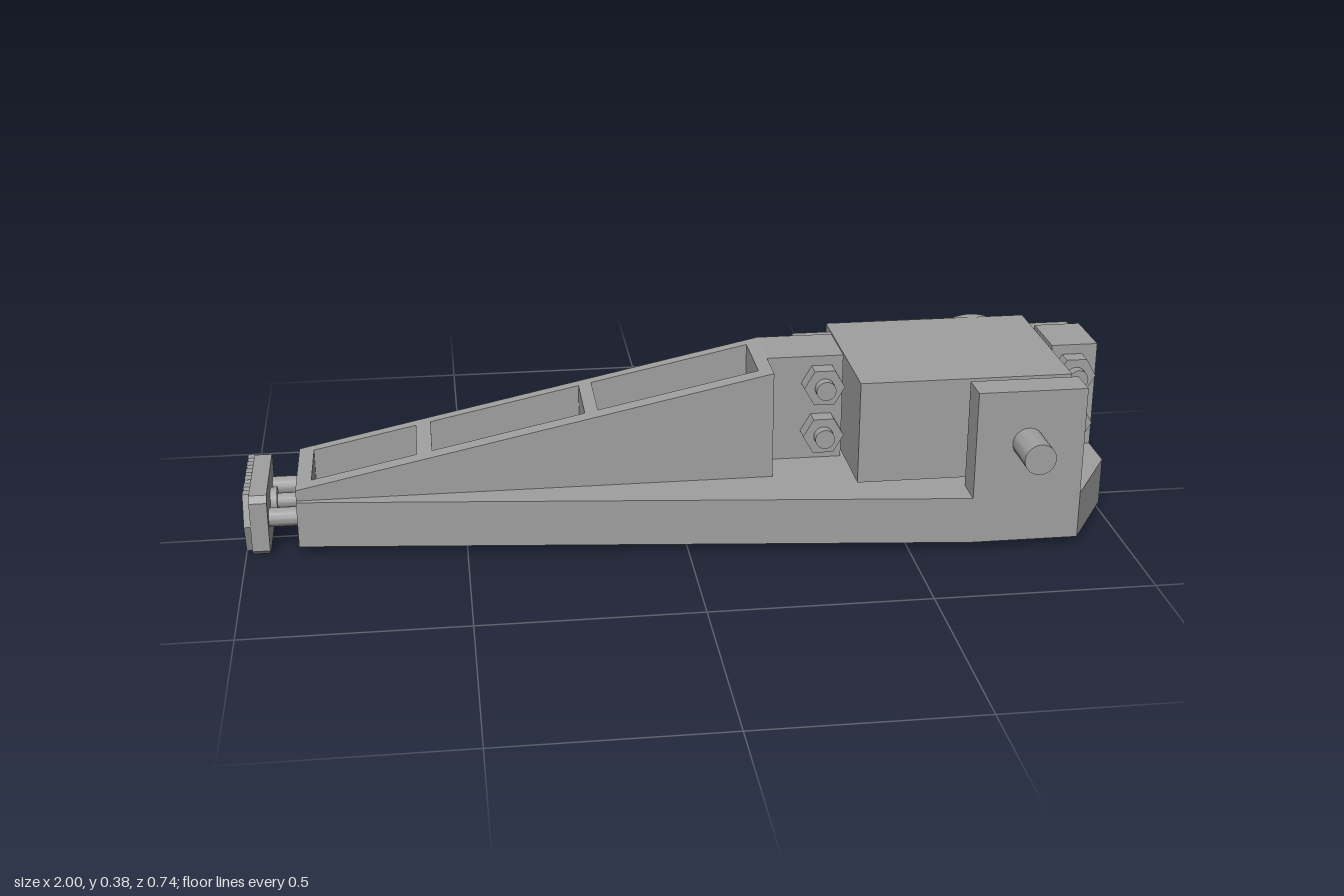
import * as THREE from 'three';
import { toCreasedNormals } from 'three/addons/utils/BufferGeometryUtils.js';

export function createModel() {
  const model = new THREE.Group();
  const grey = new THREE.MeshStandardMaterial({ color: 0xa0a0a0 });
  grey.name = 'machinedGrey';

  const add = (name, geo) => {
    const m = new THREE.Mesh(toCreasedNormals(geo, 0.5), grey);
    m.name = name;
    model.add(m);
    return m;
  };
  const box = (name, x0, x1, y0, y1, z0, z1) =>
    add(name, new THREE.BoxGeometry(x1 - x0, y1 - y0, z1 - z0)
      .translate((x0 + x1) / 2, (y0 + y1) / 2, (z0 + z1) / 2));
  const outline = pts => new THREE.Shape(pts.map(p => new THREE.Vector2(...p)));
  const extrude = (shape, depth, curveSegments = 24) =>
    new THREE.ExtrudeGeometry(shape, { depth, bevelEnabled: false, curveSegments });
  // Cylinders along z and along x
  const rodZ = (name, x, y, z0, z1, r, n = 32) =>
    add(name, new THREE.CylinderGeometry(r, r, z1 - z0, n).rotateY(Math.PI / 6)
      .rotateX(Math.PI / 2).translate(x, y, (z0 + z1) / 2));
  const rodX = (name, x0, x1, y, z, r, n = 24) =>
    add(name, new THREE.CylinderGeometry(r, r, x1 - x0, n)
      .rotateZ(Math.PI / 2).translate((x0 + x1) / 2, y, z));

  // Base plate with three through windows
  const base = outline([[-0.88, 0.155], [-0.88, -0.1], [0.64, -0.27], [0.89, -0.27], [1, -0.09], [1, 0.155]]);
  const bays = [[-0.845, -0.605], [-0.57, -0.22], [-0.19, 0.18]];
  for (const [a, b] of bays) {
    base.holes.push(new THREE.Path([[a, 0.125], [b, 0.125], [b, -0.05], [a, -0.05]]
      .map(p => new THREE.Vector2(...p))));
  }
  add('basePlate', extrude(base, 0.11).rotateX(-Math.PI / 2).translate(0, 0.02, 0));

  // Tapered arm: two side walls and cross ribs under one sloping top
  const topAt = x => 0.155 + (x + 0.88) / 1.09 * 0.23;
  const wedge = (name, x0, x1, z0, z1) =>
    add(name, extrude(outline([[x0, 0.13], [x1, 0.13], [x1, topAt(x1)], [x0, topAt(x0)]]), z1 - z0)
      .translate(0, 0, z0));
  wedge('armBackWall', -0.88, 0.21, -0.155, -0.125);
  wedge('armFrontWall', -0.88, 0.21, 0.05, 0.09);
  for (const [a, b] of [[-0.88, -0.845], [-0.605, -0.57], [-0.22, -0.19], [0.18, 0.21]]) {
    wedge('armRib', a, b, -0.125, 0.05);
  }

  // Motor mounts and front bearing block
  box('innerMount', 0.21, 0.39, 0.13, 0.385, -0.155, -0.01);
  box('outerMount', 0.89, 1, 0.13, 0.385, -0.155, -0.01);
  box('bearingBlock', 0.64, 0.89, 0.13, 0.385, 0.195, 0.27);
  rodZ('pivotShaft', 0.76, 0.26, 0.16, 0.368, 0.036);

  // Motor body, with flange slotted at both ends
  box('motorBody', 0.395, 0.885, 0.137, 0.38, -0.245, 0.165);
  const right = [[0.98, 0.137], [0.98, 0.183], [0.94, 0.183], [0.94, 0.217], [0.98, 0.217],
    [0.98, 0.303], [0.94, 0.303], [0.94, 0.337], [0.98, 0.337], [0.98, 0.378]];
  const left = right.map(([x, y]) => [1.28 - x, y]).reverse();
  add('motorFlange', extrude(outline([...right, ...left]), 0.035).translate(0, 0, -0.19));
  for (const x of [0.34, 0.93]) box('flangeKey', x - 0.05, x + 0.05, 0.252, 0.265, -0.208, -0.185);

  // Gear cover and stepped output boss
  rodZ('gearCover', 0.76, 0.2585, -0.27, -0.24, 0.121, 48);
  box('gearCoverPlate', 0.5, 0.66, 0.145, 0.372, -0.27, -0.24);
  rodZ('gearCoverLobe', 0.51, 0.2585, -0.268, -0.24, 0.05);
  rodZ('outputBoss', 0.76, 0.2585, -0.3, -0.265, 0.073, 40);
  rodZ('outputCollar', 0.76, 0.2585, -0.317, -0.295, 0.06, 40);
  const teeth = [];
  for (let i = 0; i < 48; i++) {
    const a = i / 48 * Math.PI * 2, r = i % 2 ? 0.02 : 0.025;
    teeth.push([r * Math.cos(a), r * Math.sin(a)]);
  }
  const spline = outline(teeth);
  spline.holes.push(new THREE.Path().absarc(0, 0, 0.01, 0, Math.PI * 2, true));
  add('outputSpline', extrude(spline, 0.053).translate(0.76, 0.2585, -0.367));

  // Four through bolts with recessed heads and hex nuts
  const headProfile = [[0, 0.025], [0.019, 0.025], [0.019, 0.048], [0.037, 0.048], [0.042, 0.043], [0.042, 0], [0, 0]]
    .map(p => new THREE.Vector2(...p)).reverse();
  for (const x of [0.34, 0.94]) for (const y of [0.2, 0.32]) {
    add('boltHead', new THREE.LatheGeometry(headProfile, 32).rotateX(-Math.PI / 2).translate(x, y, -0.19));
    rodZ('boltShank', x, y, -0.19, 0.053, 0.023, 24);
    rodZ('hexNut', x, y, -0.01, 0.03, 0.048, 6);
  }

  // Adjustable foot with chevron tread
  const foot = outline([[-0.165, 0.015], [-0.15, 0.002], [0.087, 0.002], [0.102, 0.015],
    [0.102, 0.133], [0.087, 0.147], [-0.15, 0.147], [-0.165, 0.133]]);
  add('foot', extrude(foot, 0.04).rotateY(-Math.PI / 2).translate(-0.945, 0, 0));
  for (let i = 0; i < 6; i++) {
    const z = -0.16 + i * 0.042, w = 0.024;
    const chevron = outline([[z, 0.005], [z + w, 0.005], [z + w + 0.026, 0.075], [z + w, 0.145],
      [z, 0.145], [z + 0.026, 0.075]]);
    add('footTread', extrude(chevron, 0.015).rotateY(-Math.PI / 2).translate(-0.985, 0, 0));
  }

  // Guide pins, adjusting screw and its clip
  for (const z of [-0.122, 0.057]) rodX('guidePin', -0.95, -0.875, 0.078, z, 0.022);
  rodX('adjustingScrew', -0.95, -0.8, 0.078, -0.034, 0.018);
  rodX('screwCollar', -0.945, -0.93, 0.078, -0.034, 0.033);
  rodX('screwNut', -0.845, -0.825, 0.078, -0.034, 0.034, 6);
  return model;
}
